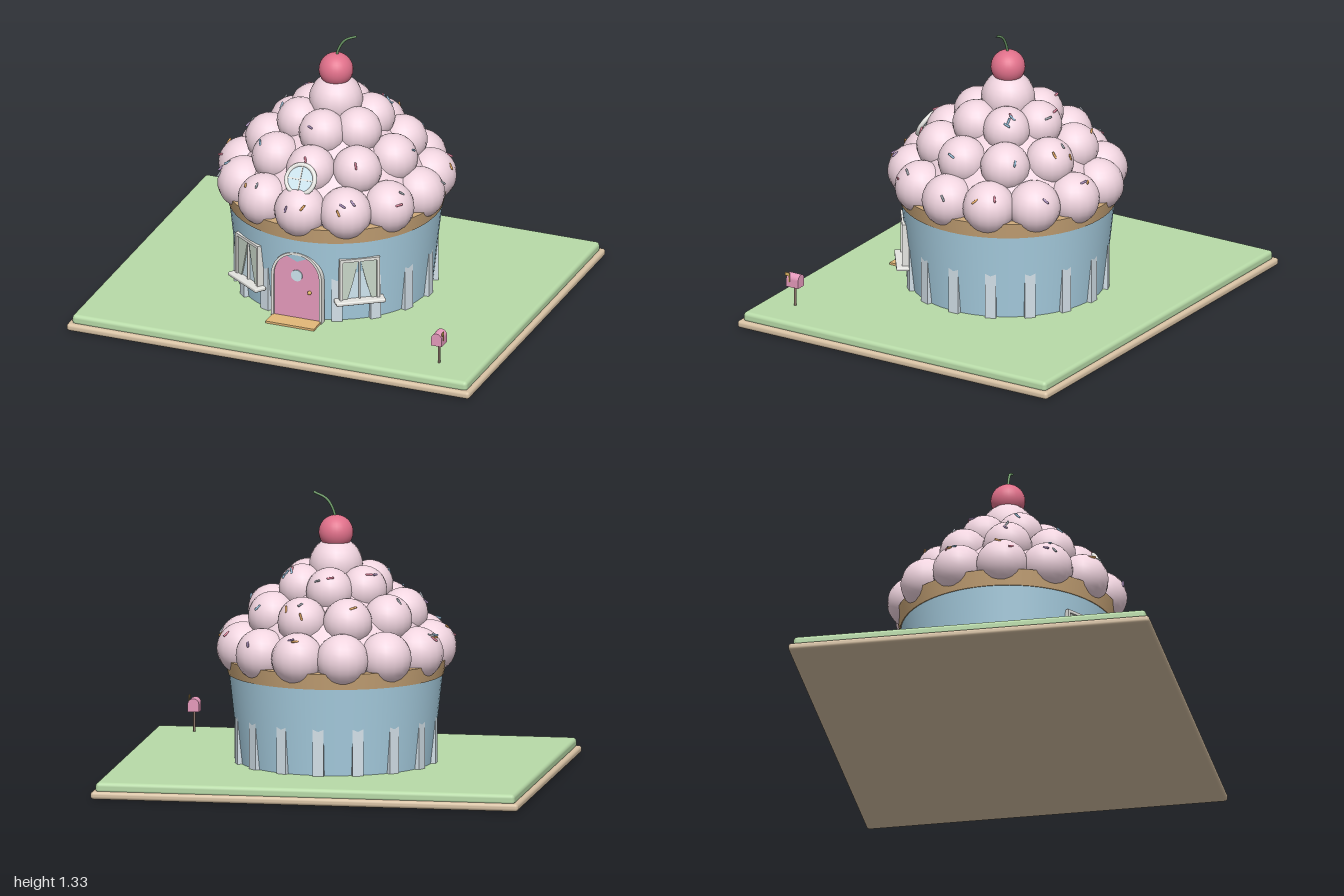
import * as THREE from 'three';
import { RoundedBoxGeometry } from 'three/addons/geometries/RoundedBoxGeometry.js';

const mat = (color, side = THREE.FrontSide) => new THREE.MeshStandardMaterial({ color, side });
const M = {
  slab: mat(0xd9c3a5), grass: mat(0xb8dba8), wall: mat(0xa9d0e3, THREE.DoubleSide), rib: mat(0xd3e0e8),
  tan: mat(0xd0ab7c, THREE.DoubleSide), frosting: mat(0xf1d5e0), cherry: mat(0xe0708a), stem: mat(0x6d9a68),
  pink: mat(0xe69abc), frame: mat(0xe4e4e0), glass: mat(0xcfe6f0), curtain: mat(0xc8d6c8, THREE.DoubleSide),
  step: mat(0xe3b878), gold: mat(0xd8b060), post: mat(0x8a7468),
};

function add(parent, name, geometry, material, x = 0, y = 0, z = 0) {
  const mesh = new THREE.Mesh(geometry, material);
  mesh.name = name;
  mesh.position.set(x, y, z);
  parent.add(mesh);
  return mesh;
}

function group(parent, name, x = 0, y = 0, z = 0) {
  const g = new THREE.Group();
  g.name = name;
  g.position.set(x, y, z);
  parent.add(g);
  return g;
}

// Upright panel with a round top, standing on y = 0
function arch(half, height) {
  const s = new THREE.Shape();
  s.moveTo(-half, 0);
  s.lineTo(half, 0);
  s.lineTo(half, height - half);
  s.absarc(0, height - half, half, 0, Math.PI, false);
  s.lineTo(-half, 0);
  return s;
}
const extrude = (shape, depth) =>
  new THREE.ExtrudeGeometry(shape, { depth, bevelEnabled: false, curveSegments: 20 });

function makeDoor(root) {
  const door = group(root, 'door', 0, 0.075, 0.45);
  add(door, 'doorPanel', extrude(arch(0.112, 0.33), 0.03), M.pink);
  const rim = arch(0.125, 0.342);
  rim.holes.push(arch(0.112, 0.33));
  add(door, 'doorFrame', extrude(rim, 0.038), M.frame);
  const pane = add(door, 'doorPane', new THREE.CylinderGeometry(0.028, 0.028, 0.008, 24), M.glass, 0, 0.225, 0.031);
  pane.rotation.x = Math.PI / 2;
  add(door, 'doorKnob', new THREE.SphereGeometry(0.01, 12, 8), M.gold, 0.065, 0.15, 0.038);
  add(root, 'doorStep', new THREE.BoxGeometry(0.24, 0.012, 0.12), M.step, 0, 0.08, 0.51);
}

function makeWindow(root, side) {
  const a = side * 0.61;
  const w = group(root, side > 0 ? 'leftWindow' : 'rightWindow', 0.477 * Math.sin(a), 0.29, 0.477 * Math.cos(a));
  w.rotation.y = a;
  add(w, 'windowPane', new THREE.BoxGeometry(0.17, 0.2, 0.02), M.glass, 0, 0, -0.012);
  for (const s of [-1, 1]) {
    add(w, 'windowJamb', new THREE.BoxGeometry(0.014, 0.22, 0.04), M.frame, s * 0.088, 0, -0.005);
    // Curtain gathered towards the outer edge
    const c = new THREE.Shape();
    c.moveTo(s * 0.08, 0.1);
    c.lineTo(s * 0.006, 0.1);
    c.quadraticCurveTo(s * 0.025, 0, s * 0.058, -0.1);
    c.lineTo(s * 0.08, -0.1);
    add(w, 'curtain', extrude(c, 0.006), M.curtain, 0, 0, 0);
  }
  add(w, 'windowHead', new THREE.BoxGeometry(0.19, 0.014, 0.04), M.frame, 0, 0.103, -0.005);
  add(w, 'windowMullion', new THREE.BoxGeometry(0.007, 0.2, 0.012), M.frame, 0, 0, 0.004);
  add(w, 'windowSill', new RoundedBoxGeometry(0.235, 0.018, 0.06, 2, 0.006), M.frame, 0, -0.103, 0.012);
}

function makeFrosting(root) {
  const frosting = group(root, 'frosting');
  // Each ring: number of puffs, ring radius, height, puff radius
  const rings = [[13, 0.435, 0.612, 0.122], [9, 0.31, 0.765, 0.115], [6, 0.165, 0.89, 0.11], [1, 0, 0.99, 0.125]];
  const puffs = [];
  for (const [n, R, y, r] of rings) {
    const geo = new THREE.SphereGeometry(r, 18, 16);
    for (let i = 0; i < n; i++) {
      const a = (i / n) * Math.PI * 2;
      const puff = add(frosting, 'puff', geo, M.frosting, R * Math.sin(a), y, R * Math.cos(a));
      puff.rotation.y = a;
      puffs.push({ a, r, p: puff.position });
    }
  }
  // Solid core behind the puffs
  const core = [[0, 0.53], [0.47, 0.53], [0.46, 0.64], [0.33, 0.77], [0.18, 0.9], [0, 1.0]];
  add(frosting, 'frostingCore', new THREE.LatheGeometry(core.map(p => new THREE.Vector2(...p)), 36), M.frosting);

  // Sprinkles lie on the outer, upper side of the puffs
  let seed = 7;
  const rnd = () => (seed = (seed * 16807) % 2147483647) / 2147483647;
  const colors = [0xe0a560, 0x8fb6d0, 0xa68bb8, 0x9aa0a8, 0xd98098].map(c => mat(c));
  const rod = new THREE.CapsuleGeometry(0.005, 0.026, 3, 8);
  for (let i = 0; i < 46; i++) {
    const { a, r, p } = puffs[Math.floor(rnd() * (puffs.length - 1))];
    const around = a + (rnd() - 0.5) * 1.1, lift = 0.35 + rnd() * 0.6;
    const n = new THREE.Vector3(Math.sin(around) * Math.cos(lift), Math.sin(lift), Math.cos(around) * Math.cos(lift));
    const pos = p.clone().addScaledVector(n, r + 0.001);
    const s = add(frosting, 'sprinkle', rod, colors[i % colors.length], pos.x, pos.y, pos.z);
    const dir = new THREE.Vector3(rnd() - 0.5, rnd() - 0.5, rnd() - 0.5).cross(n).normalize().addScaledVector(n, 0.3);
    s.quaternion.setFromUnitVectors(new THREE.Vector3(0, 1, 0), dir.normalize());
  }
}

function makeRoundWindow(root) {
  const w = group(root, 'roundWindow', 0, 0.768, 0.435);
  w.rotation.x = -0.53;
  add(w, 'roundFrame', new THREE.TorusGeometry(0.069, 0.011, 10, 32), M.frame);
  const pane = add(w, 'roundPane', new THREE.CylinderGeometry(0.068, 0.068, 0.012, 32), M.glass);
  pane.rotation.x = Math.PI / 2;
  add(w, 'roundBar', new THREE.BoxGeometry(0.135, 0.006, 0.02), M.frame);
  add(w, 'roundBar', new THREE.BoxGeometry(0.006, 0.135, 0.02), M.frame);
}

function makeMailbox(root) {
  const box = group(root, 'mailbox', 0.78, 0, 0.665);
  add(box, 'mailboxPost', new THREE.CylinderGeometry(0.006, 0.006, 0.11, 10), M.post, 0, 0.125, 0);
  add(box, 'mailboxBody', extrude(arch(0.026, 0.062), 0.065), M.pink, 0, 0.172, -0.0325);
  add(box, 'mailboxFlagArm', new THREE.BoxGeometry(0.004, 0.045, 0.006), M.gold, 0.028, 0.22, 0.015);
  add(box, 'mailboxFlag', new THREE.BoxGeometry(0.004, 0.016, 0.024), M.gold, 0.028, 0.235, 0.024);
}

export function createModel() {
  const root = new THREE.Group();
  root.name = 'cupcakeHouse';

  // Ground
  add(root, 'baseSlab', new RoundedBoxGeometry(2, 0.036, 1.69, 3, 0.015), M.slab, 0, 0.018, 0);
  add(root, 'lawn', new RoundedBoxGeometry(1.96, 0.05, 1.65, 3, 0.018), M.grass, 0, 0.051, 0);

  // Flared wall with upright ribs, leaving the front free for the door
  add(root, 'wall', new THREE.CylinderGeometry(0.5, 0.447, 0.48, 64), M.wall, 0, 0.31, 0);
  for (let i = 1; i < 16; i++) {
    const a = (i / 16) * Math.PI * 2;
    const rib = add(root, 'wallRib', new THREE.BoxGeometry(0.05, 0.275, 0.035), M.rib,
      0.453 * Math.sin(a), 0.212, 0.453 * Math.cos(a));
    rib.rotation.y = a;
  }
  add(root, 'cakeRim', new THREE.CylinderGeometry(0.514, 0.497, 0.075, 64), M.tan, 0, 0.522, 0);

  makeDoor(root);
  makeWindow(root, 1);
  makeWindow(root, -1);
  makeFrosting(root);
  makeRoundWindow(root);

  // Cherry on top
  add(root, 'cherry', new THREE.SphereGeometry(0.08, 28, 20), M.cherry, 0, 1.14, 0);
  const stem = new THREE.CatmullRomCurve3([[0, 1.2], [0.015, 1.25], [0.045, 1.295], [0.105, 1.325]]
    .map(([x, y]) => new THREE.Vector3(x, y, 0)));
  add(root, 'cherryStem', new THREE.TubeGeometry(stem, 16, 0.006, 8), M.stem);

  makeMailbox(root);
  return root;
}
